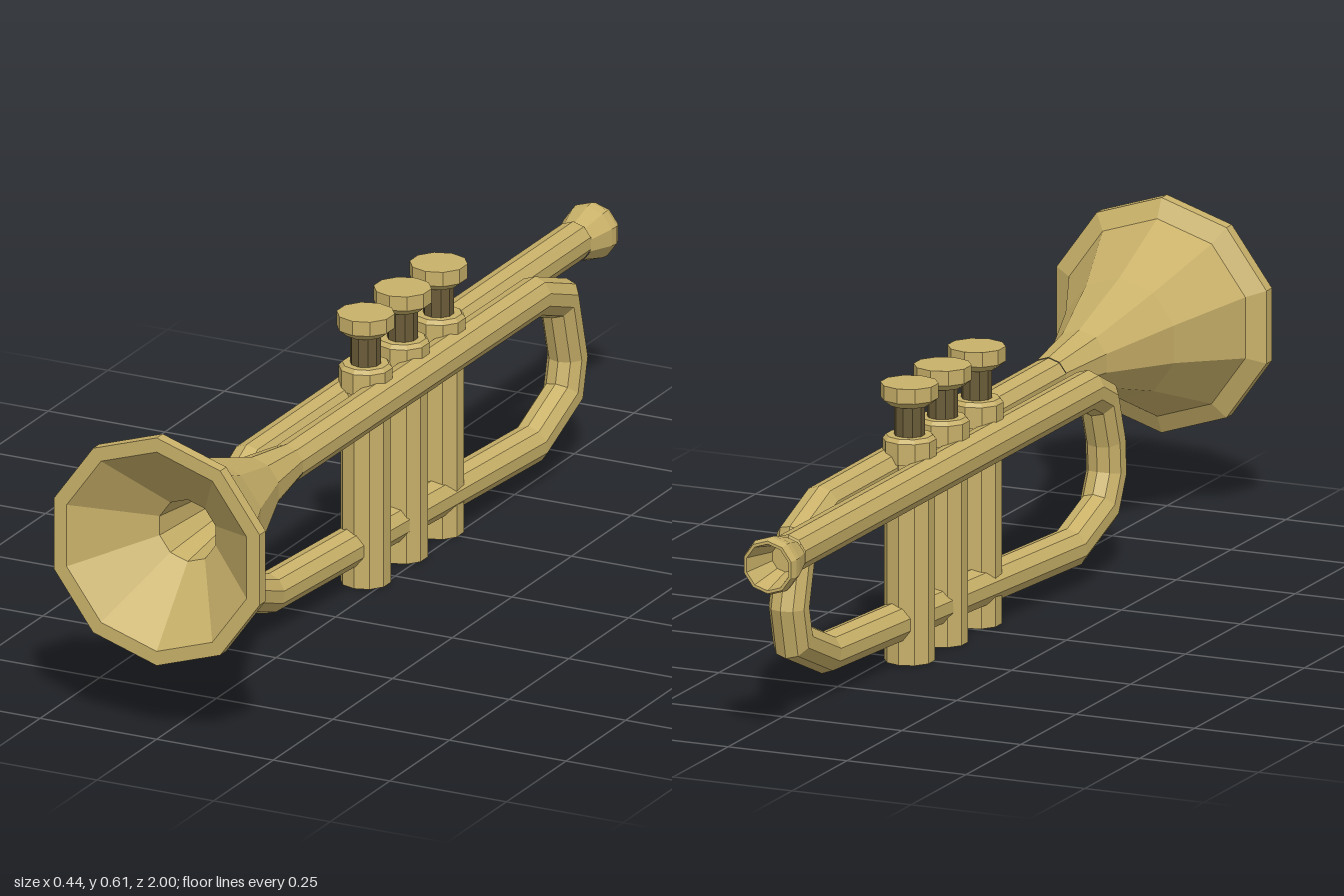
import * as THREE from 'three';

const SIDES = 10;
const brass = new THREE.MeshStandardMaterial({ color: 0xc9b169, flatShading: true });
brass.name = 'brass';
const darkBrass = new THREE.MeshStandardMaterial({ color: 0x6b5c38, flatShading: true });
darkBrass.name = 'dark brass';

function part(name, geometry, material = brass) {
  const mesh = new THREE.Mesh(geometry, material);
  mesh.name = name;
  return mesh;
}

// Faceted turned shape from [radius, height] pairs
function turned(profile) {
  return new THREE.LatheGeometry(profile.map(([r, h]) => new THREE.Vector2(r, h)), SIDES);
}

// Constant-width pipe with mitred joints along a polyline
function mitredPipe(path, radius) {
  const pts = path.map((p) => new THREE.Vector3(...p));
  const dirs = pts.slice(1).map((p, i) => p.clone().sub(pts[i]).normalize());
  const ring = [];
  for (let j = 0; j < SIDES; j++) {
    const a = Math.PI / 2 + (j / SIDES) * Math.PI * 2;
    ring.push(new THREE.Vector3(Math.cos(a) * radius, Math.sin(a) * radius, 0).add(pts[0]));
  }
  const positions = [];
  const index = [];
  pts.forEach((centre, i) => {
    if (i > 0) {
      const along = dirs[i - 1];
      const normal = along.clone().add(dirs[Math.min(i, dirs.length - 1)]);
      for (const v of ring) {
        v.addScaledVector(along, centre.clone().sub(v).dot(normal) / along.dot(normal));
      }
    }
    ring.forEach((v) => positions.push(v.x, v.y, v.z));
    if (i === 0) return;
    for (let j = 0; j < SIDES; j++) {
      const k = (j + 1) % SIDES;
      const a = (i - 1) * SIDES + j, b = (i - 1) * SIDES + k;
      const c = i * SIDES + k, d = i * SIDES + j;
      index.push(a, c, b, a, d, c);
    }
  });
  const geometry = new THREE.BufferGeometry();
  geometry.setAttribute('position', new THREE.Float32BufferAttribute(positions, 3));
  geometry.setIndex(index);
  geometry.computeVertexNormals();
  return geometry;
}

export function createModel() {
  const group = new THREE.Group();
  group.name = 'trumpet';

  // Flared bell: outer wall, flat rim, then the inner cone and throat
  const bell = part('bell', turned([
    [0.039, 0.46], [0.06, 0.6], [0.12, 0.785], [0.195, 0.955], [0.232, 0.975],
    [0.232, 1], [0.203, 1], [0.063, 0.87], [0.031, 0.62], [0, 0.62],
  ]).rotateX(Math.PI / 2));
  bell.position.y = 0.382;
  group.add(bell);

  // One pipe runs back from the bell, under the valves, round the front bow and back
  const lead = -0.083;
  group.add(part('mainPipe', mitredPipe([
    [0, 0.381, 0.46],
    [0, 0.377, -0.578],
    [0, 0.338, -0.687],
    [0, 0.21, -0.722],
    [0, 0.14, -0.704],
    [0, 0.082, -0.565],
    [lead, 0.075, 0.375],
    [lead, 0.122, 0.512],
    [lead, 0.185, 0.544],
    [lead, 0.25, 0.54],
    [lead, 0.338, 0.51],
    [lead, 0.367, 0.45],
    [lead, 0.367, -0.91],
  ], 0.039)));

  // Hollow mouthpiece cup
  const mouthpiece = part('mouthpiece', turned([
    [0, -0.92], [0.028, -0.92], [0.046, -1], [0.052, -1], [0.057, -0.985], [0.055, -0.968], [0.038, -0.91],
  ]).rotateX(Math.PI / 2));
  mouthpiece.position.set(lead, 0.363, 0);
  group.add(mouthpiece);

  // Three valves, each with casing, dark base, collar, dark stem and finger button
  [0.048, -0.107, -0.258].forEach((z, i) => {
    const valve = new THREE.Group();
    valve.name = 'valve' + (i + 1);
    valve.position.set(-0.039, 0, z);
    valve.add(
      part('casing', turned([[0.049, 0], [0.049, 0.41]])),
      part('base', turned([[0, 0], [0.049, 0]]), darkBrass),
      part('collar', turned([[0.049, 0.395], [0.052, 0.395], [0.052, 0.437], [0.045, 0.445], [0, 0.445]])),
      part('stem', turned([[0.03, 0.445], [0.03, 0.505], [0.04, 0.505]].slice(0, 2)), darkBrass),
      part('button', turned([[0.03, 0.505], [0.04, 0.505], [0.056, 0.518], [0.056, 0.547], [0, 0.547]])),
    );
    group.add(valve);
  });

  return group;
}
